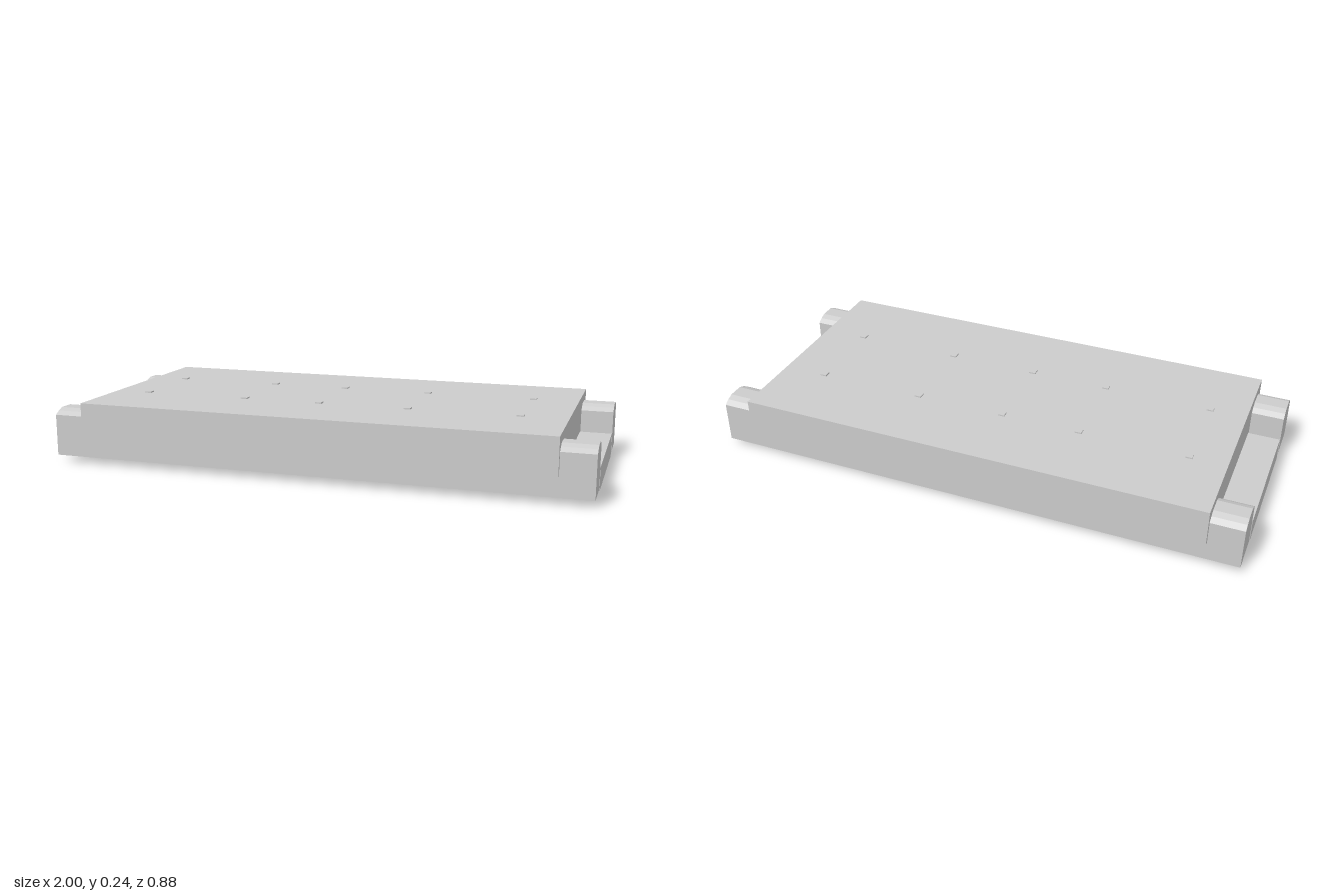
import * as THREE from 'three';

export function createModel() {
  const group = new THREE.Group();
  const material = new THREE.MeshStandardMaterial({ color: 0xcccccc, flatShading: true });

  const add = (name, geometry, x = 0, y = 0, z = 0) => {
    const mesh = new THREE.Mesh(geometry, material);
    mesh.name = name;
    mesh.position.set(x, y, z);
    group.add(mesh);
    return mesh;
  };

  // Box given by its bottom and top heights
  const slab = (name, w, y0, y1, d, x = 0, z = 0) =>
    add(name, new THREE.BoxGeometry(w, y1 - y0, d), x, (y0 + y1) / 2, z);

  // Base between the rails, and the wide plate on top
  slab('basePlate', 2, 0.012, 0.1, 0.52);
  slab('topPlate', 1.76, 0.097, 0.235, 0.88);

  // Long side rails with a faceted crown
  const profile = new THREE.Shape([
    [-0.0715, 0.025], [0.0715, 0.025], [0.0715, 0.18], [0.051, 0.193],
    [0.028, 0.202], [-0.028, 0.202], [-0.051, 0.193], [-0.0715, 0.18],
  ].map(([z, y]) => new THREE.Vector2(z, y)));
  const railGeometry = new THREE.ExtrudeGeometry(profile, { depth: 2, bevelEnabled: false });
  railGeometry.translate(0, 0, -1).rotateY(Math.PI / 2);
  for (const side of [1, -1]) {
    add(side > 0 ? 'frontRail' : 'backRail', railGeometry, 0, 0, side * 0.35);
  }

  // Two rows of square pins showing above the plate and below the base
  for (const z of [0.16, -0.16]) {
    for (const x of [-0.743, -0.337, -0.038, 0.302, 0.711]) {
      slab('pin', 0.025, 0, 0.24, 0.025, x, z);
    }
  }

  return group;
}
